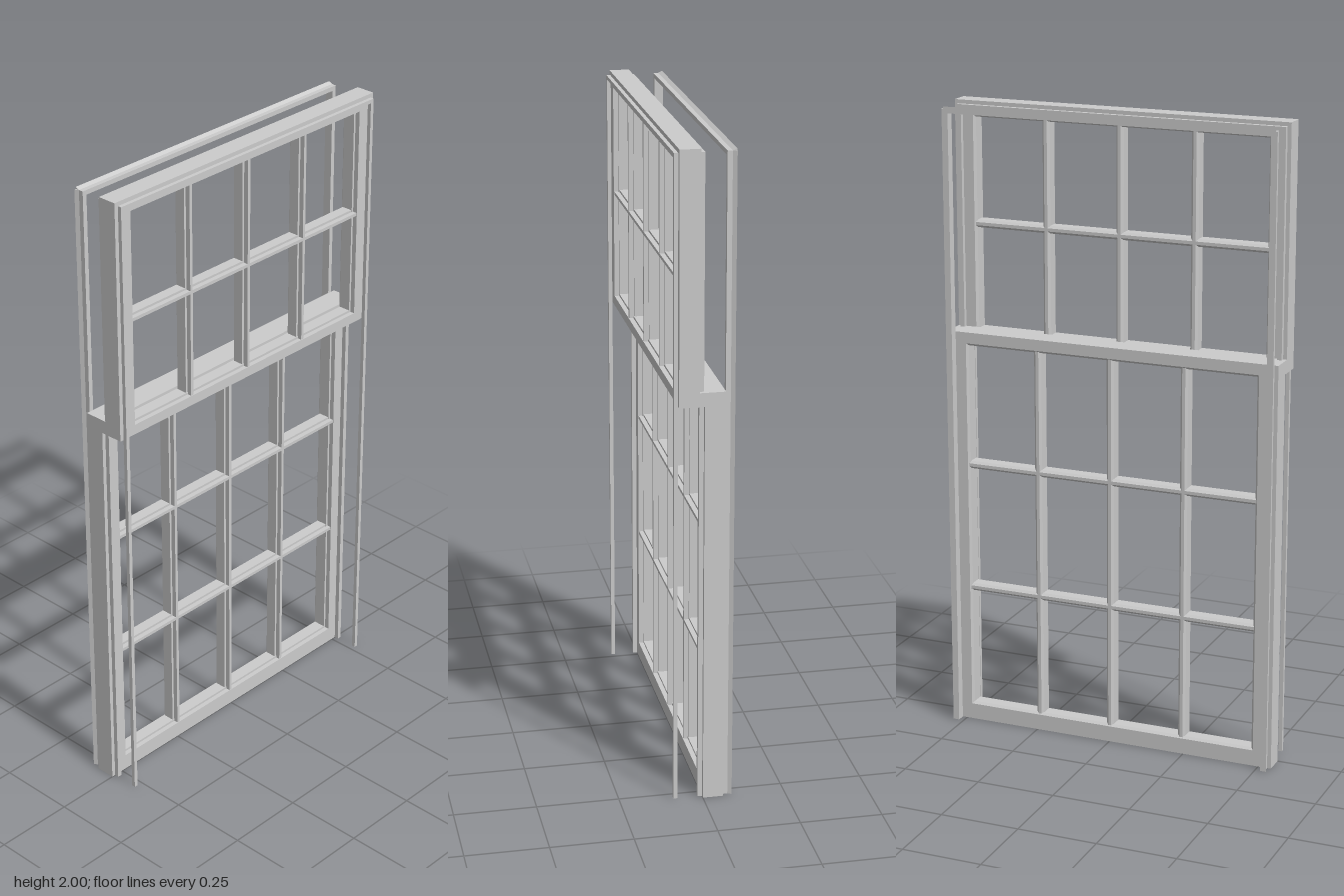
import * as THREE from 'three';

const material = new THREE.MeshStandardMaterial({ color: 0xcccccc, flatShading: true, side: THREE.DoubleSide });
const HALF = 0.542; // half width of the sashes

// Extrude a section of [x, w] points: across the window (w is y) or upright (w is z)
function bar(name, section, length, upright, w, start) {
  const shape = new THREE.Shape(section.map(([x, v]) => new THREE.Vector2(x, v)));
  const geometry = new THREE.ExtrudeGeometry(shape, { depth: length, bevelEnabled: false });
  if (upright) geometry.rotateX(-Math.PI / 2).translate(0, start, w);
  else geometry.translate(0, w, start);
  const mesh = new THREE.Mesh(geometry, material);
  mesh.name = name;
  return mesh;
}

// Frame member: glazing rabbet on the +x side, chamfer on the -x side
function memberSection(x0, x1, t, s) {
  const r = 0.007, d = 0.015, c = 0.007;
  return [[x0, 0], [x1, 0], [x1, t - r], [x1 - d, t - r], [x1 - d, t], [x0 + c, t], [x0, t - c]]
    .map(([x, w]) => [x, w * s]);
}

// Glazing bar: narrow fin on +x, wider body, chamfered nose on -x
function muntinSection(x0, x1) {
  const b = 0.012, f = 0.005, d = 0.015, c = 0.007;
  const side = [[x0, b - c], [x0 + c, b], [x1 - d, b], [x1 - d, f], [x1, f]];
  return [...side, ...side.map(([x, w]) => [x, -w]).reverse()];
}

function sash(name, o) {
  const group = new THREE.Group();
  group.name = name;
  const { x0, x1, y0, y1, bottom, top } = o;
  for (const s of [1, -1]) {
    group.add(bar('stile', memberSection(x0, x1, 0.067, s), y1 - y0, true, s * HALF, y0));
  }
  group.add(bar('bottomRail', memberSection(x0, x1, bottom, 1), 2 * HALF, false, y0, -HALF));
  group.add(bar('topRail', memberSection(x0, x1, top, -1), 2 * HALF, false, y1, -HALF));
  const section = muntinSection(x0 + 0.003, x1 - 0.002);
  for (const z of [-0.242, 0, 0.242]) {
    group.add(bar('verticalMuntin', section, y1 - y0 - bottom - top + 0.014, true, z, y0 + bottom - 0.007));
  }
  for (const y of o.bars) group.add(bar('horizontalMuntin', section, 0.964, false, y, -0.482));
  return group;
}

// Three-sided stop: two uprights and a head, open at the bottom
function stop(name, x0, x1, width, flare) {
  const group = new THREE.Group();
  group.name = name;
  const z = 0.53, top = 1.988;
  const section = s => [[x0, flare], [x0 + (x1 - x0) * 0.45, 0], [x1, 0], [x1, -width], [x0, -width]]
    .map(([x, w]) => [x, w * s]);
  for (const s of [1, -1]) {
    // Upright section is turned so that positive w points to -z
    group.add(bar('sideStop', section(-s), top, true, s * z, 0));
  }
  group.add(bar('headStop', section(1), 2 * z, false, top, -z));
  return group;
}

export function createModel() {
  const window = new THREE.Group();
  window.name = 'doubleHungWindow';

  // Sashes
  window.add(sash('lowerSash', {
    x0: -0.062, x1: 0.0, y0: 0, y1: 1.29, bottom: 0.058, top: 0.042, bars: [0.452, 0.86],
  }));
  window.add(sash('upperSash', {
    x0: 0.014, x1: 0.075, y0: 1.248, y1: 2, bottom: 0.038, top: 0.05, bars: [1.618],
  }));

  // Filler closing the gap where the two meeting rails touch
  const meeting = new THREE.Mesh(new THREE.BoxGeometry(0.016, 0.042, 2 * HALF), material);
  meeting.name = 'meetingRailJoint';
  meeting.position.set(0.007, 1.269, 0);
  window.add(meeting);

  // Stops and parting bead
  window.add(stop('innerStop', -0.09, -0.063, 0.014, 0.006));
  window.add(stop('partingBead', 0.0, 0.014, 0.014, 0));
  window.add(stop('outerStop', 0.076, 0.088, 0.012, 0));
  return window;
}
